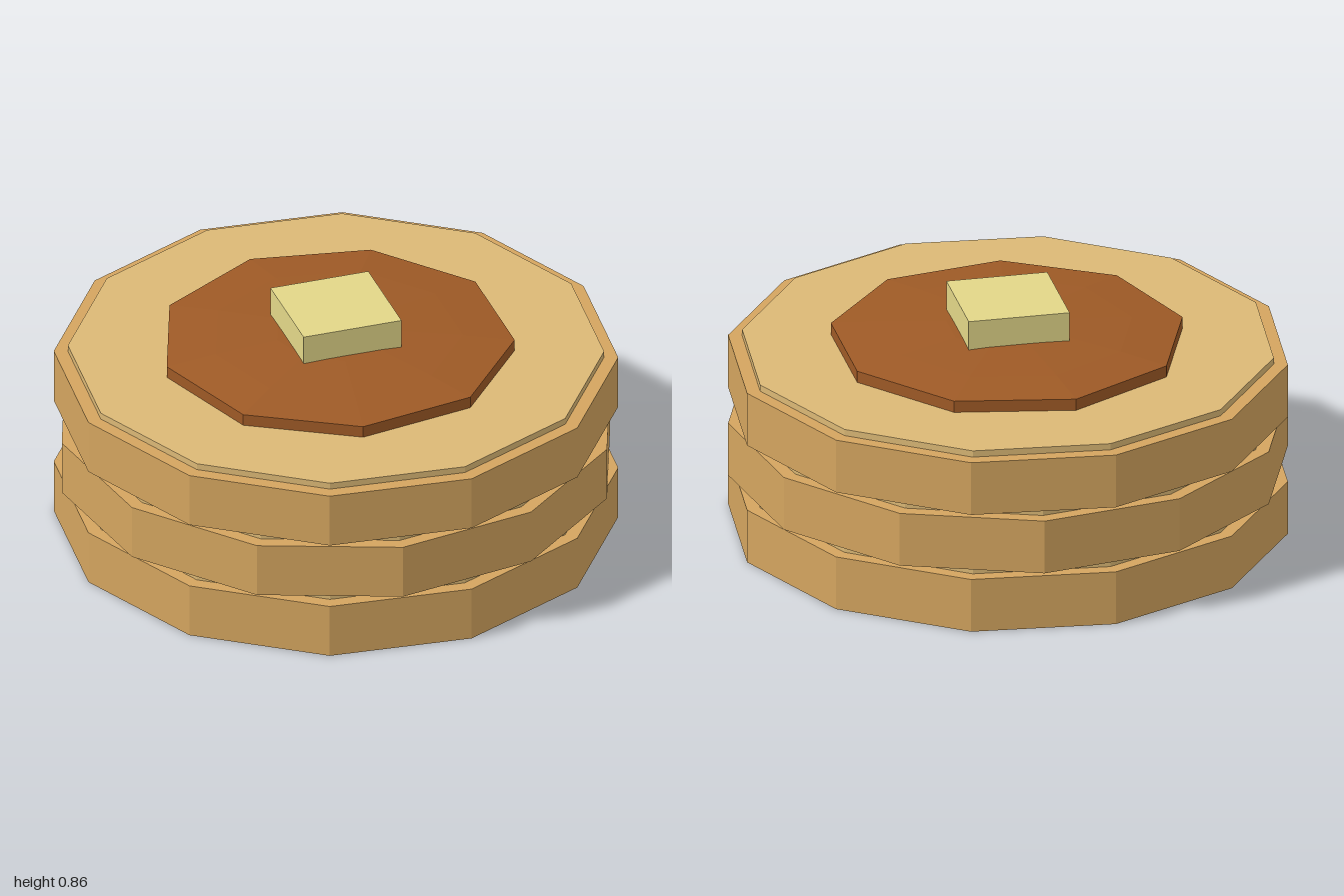
import * as THREE from 'three';

const mat = (color) => new THREE.MeshStandardMaterial({ color, flatShading: true });

export function createModel() {
  const model = new THREE.Group();
  model.name = 'pancakeStack';
  const crust = mat(0xd4a55f), crumb = mat(0xdcb976);
  const syrupMat = mat(0x9e5a26), butterMat = mat(0xe2d688);

  const add = (parent, name, geometry, material, y) => {
    const mesh = new THREE.Mesh(geometry, material);
    mesh.name = name;
    mesh.position.y = y;
    parent.add(mesh);
    return mesh;
  };

  // Three pancakes, the middle one turned by half a facet
  const body = 0.202, rim = 0.024, pitch = body + rim;
  for (let i = 0; i < 3; i++) {
    const pancake = new THREE.Group();
    pancake.name = `pancake${i + 1}`;
    pancake.position.y = i * pitch;
    pancake.rotation.y = (i % 2) * Math.PI / 12;
    add(pancake, 'crust', new THREE.CylinderGeometry(1, 1, body, 12), crust, body / 2);
    add(pancake, 'paleTop', new THREE.CylinderGeometry(0.95, 0.95, rim, 12), crumb, body + rim / 2);
    model.add(pancake);
  }
  const top = 3 * pitch;

  // Nine-sided syrup pool, gently domed, with a corner on +x
  const profile = [[0, 0], [0.633, 0], [0.633, 0.043], [0.45, 0.061], [0.22, 0.075], [0, 0.079]]
    .map(([r, y]) => new THREE.Vector2(r, y));
  const syrup = add(model, 'syrup', new THREE.LatheGeometry(profile, 9), syrupMat, top);
  syrup.rotation.y = Math.PI / 2;

  // Pat of butter
  const butter = add(model, 'butter', new THREE.BoxGeometry(0.366, 0.112, 0.366), butterMat, 0.803);
  butter.rotation.y = 0.35;

  return model;
}
